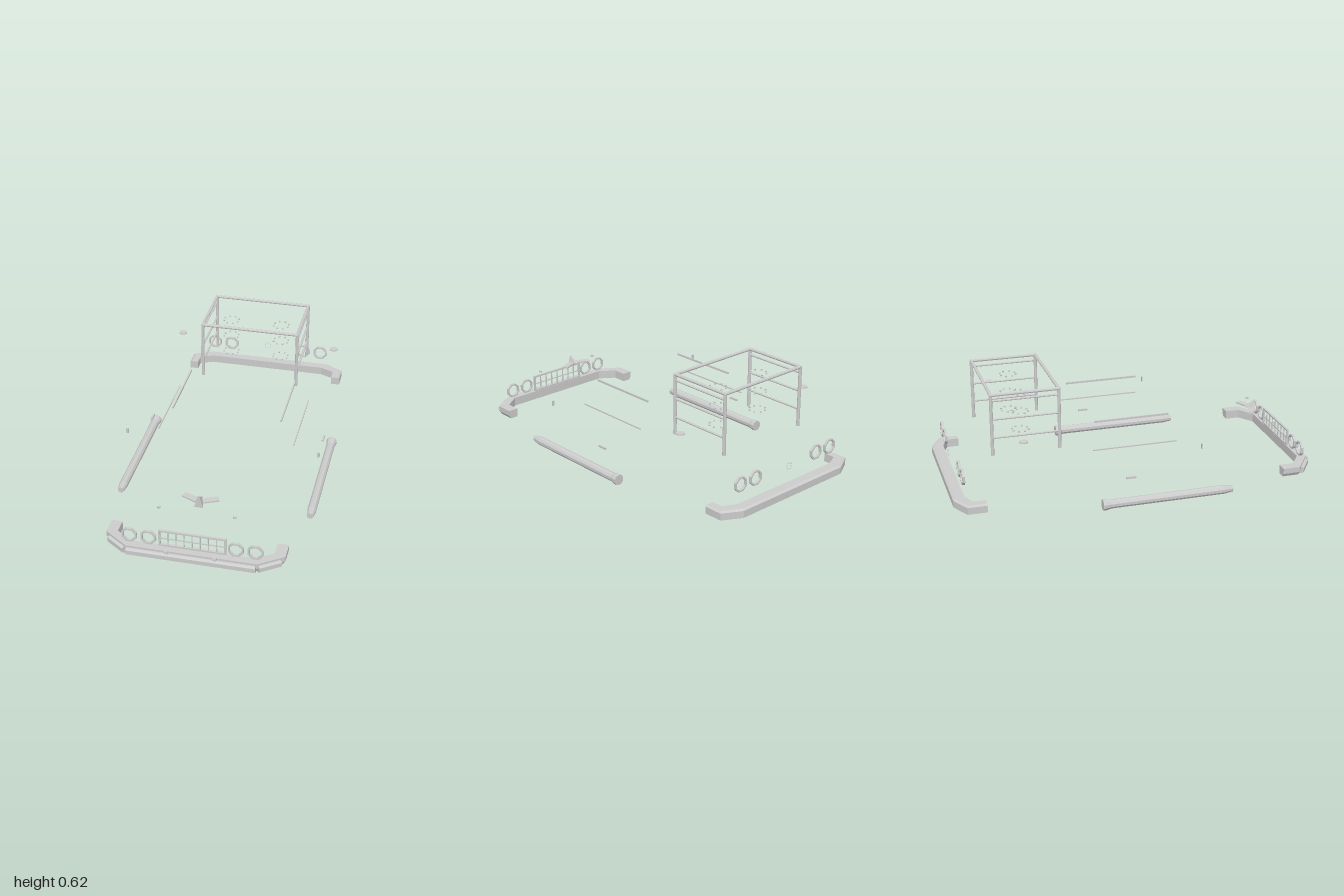
import * as THREE from 'three';
import { ConvexGeometry } from 'three/addons/geometries/ConvexGeometry.js';

const mat = new THREE.MeshStandardMaterial({ color: 0xcccccc, flatShading: true });
const V = (x, y, z) => new THREE.Vector3(x, y, z);

function add(parent, name, geo, x = 0, y = 0, z = 0) {
  const m = new THREE.Mesh(geo, mat);
  m.name = name;
  m.position.set(x, y, z);
  parent.add(m);
  return m;
}

function group(parent, name) {
  const g = new THREE.Group();
  g.name = name;
  parent.add(g);
  return g;
}

const box = (w, h, d) => new THREE.BoxGeometry(w, h, d);

// Round bar between two points
function bar(parent, name, a, b, r) {
  const m = add(parent, name, new THREE.CylinderGeometry(r, r, a.distanceTo(b), 8));
  m.position.copy(a).lerp(b, 0.5);
  m.quaternion.setFromUnitVectors(V(0, 1, 0), b.clone().sub(a).normalize());
}

// Beam swept along plan stations [outerX, outerZ, innerX, innerZ], running from +x to -x.
// The profile lists [t, y], t going from outer (0) to inner (1): outer top, outer bottom, inner bottom, inner top.
function beam(stations, profile) {
  const rings = stations.map(([ox, oz, ix, iz]) =>
    profile.map(([t, y]) => V(ox + (ix - ox) * t, y, oz + (iz - oz) * t)));
  const n = profile.length, pts = [];
  for (let i = 0; i < rings.length - 1; i++) {
    for (let j = 0; j < n; j++) {
      const k = (j + 1) % n;
      const a = rings[i][j], b = rings[i][k], c = rings[i + 1][k], d = rings[i + 1][j];
      pts.push(a, d, c, a, c, b);
    }
  }
  const first = rings[0], last = rings[rings.length - 1];
  for (let k = 1; k < n - 1; k++) {
    pts.push(first[0], first[k], first[k + 1], last[0], last[k + 1], last[k]);
  }
  const geo = new THREE.BufferGeometry().setFromPoints(pts);
  geo.computeVertexNormals();
  return geo;
}

const flip = (half) => half.map(([a, b, c, d]) => [-a, b, -c, d]).reverse();
const mirrored = (half) => [...half, ...flip(half)];

// Flat octagonal ring facing z
function octagonRing(outer, inner, depth) {
  const corners = (r) => Array.from({ length: 8 }, (_, i) => {
    const a = (i + 0.5) * Math.PI / 4;
    return new THREE.Vector2(r * Math.cos(a), r * Math.sin(a));
  });
  const s = new THREE.Shape(corners(outer));
  s.holes.push(new THREE.Path(corners(inner)));
  return new THREE.ExtrudeGeometry(s, { depth, bevelEnabled: false }).translate(0, 0, -depth / 2);
}

function buildFrontBumper(root) {
  const g = group(root, 'frontBumper');
  add(g, 'bumperBeam', beam(mirrored([
    [0.468, 0.795, 0.41, 0.795], [0.468, 0.89, 0.41, 0.875], [0.34, 0.98, 0.325, 0.935],
  ]), [[0, 0.083], [0, 0.053], [0.2, 0.034], [1, 0.034], [1, 0.083]]));
  // Rub strips on the centre and both corners
  const strip = [[0.5, 0.072], [0, 0.066], [0, 0.042], [0.5, 0.033], [1, 0.033], [1, 0.072]];
  const corner = [[0.455, 0.92, 0.44, 0.9], [0.355, 0.99, 0.34, 0.97]];
  add(g, 'centreStrip', beam(mirrored([[0.335, 1, 0.335, 0.975]]), strip));
  add(g, 'leftCornerStrip', beam(corner, strip));
  add(g, 'rightCornerStrip', beam(flip(corner), strip));
  for (const s of [-1, 1]) add(g, 'bumperBolt', box(0.018, 0.012, 0.015), s * 0.125, 0.078, 0.983);
}

function buildRearBumper(root) {
  const g = group(root, 'rearBumper');
  g.rotation.y = Math.PI;
  add(g, 'bumperBeam', beam(mirrored([
    [0.47, 0.84, 0.42, 0.84], [0.47, 0.943, 0.42, 0.905], [0.365, 1, 0.345, 0.938],
  ]), [[0.2, 0.098], [0, 0.09], [0, 0.052], [1, 0.052], [1, 0.098]]));
}

function buildGrille(root) {
  const g = group(root, 'grille');
  for (const y of [0.089, 0.176]) add(g, 'grilleRail', box(0.35, 0.009, 0.012), 0, y, 0.94);
  for (const x of [-0.17, 0.17]) add(g, 'grilleEnd', box(0.009, 0.09, 0.012), x, 0.132, 0.94);
  for (let i = -3; i <= 3; i++) add(g, 'grilleSlat', box(0.005, 0.085, 0.006), i * 0.042, 0.132, 0.94);
  add(g, 'grilleCrossbar', box(0.335, 0.005, 0.006), 0, 0.13, 0.94);
}

// Open rack on four legs, with three rails down each side
function buildRack(root) {
  const g = group(root, 'rearRack');
  const X = 0.275, top = 0.612, z0 = -0.409, z1 = -0.768, r = 0.009;
  for (const x of [-X, X]) {
    for (const z of [z0, z1]) {
      bar(g, 'rackLeg', V(x, 0.28, z), V(x, top, z), r);
      add(g, 'rackCorner', new THREE.SphereGeometry(r, 8, 6), x, top, z);
    }
    bar(g, 'rackTopSide', V(x, top, z0), V(x, top, z1), r);
    for (const y of [0.376, 0.478, 0.58]) bar(g, 'rackRail', V(x, y, z0), V(x, y, z1), 0.006);
  }
  for (const z of [z0, z1]) bar(g, 'rackTopCross', V(-X, top, z), V(X, top, z), r);
}

// Circle of eight bolts lying in the xz plane
function boltCircle(root, name, radius, size, height) {
  const g = group(root, name);
  for (let i = 0; i < 8; i++) {
    const a = (i + 0.5) * Math.PI / 4;
    add(g, 'bolt', new THREE.CylinderGeometry(size, size, height, 6), radius * Math.cos(a), 0, radius * Math.sin(a));
  }
  return g;
}

function buildOrnament(root) {
  const g = group(root, 'bonnetOrnament');
  add(g, 'ornamentBody', new ConvexGeometry([
    V(-0.005, 0.312, 0.8), V(0.005, 0.312, 0.8),
    V(-0.024, 0.245, 0.8), V(0.024, 0.245, 0.8),
    V(-0.006, 0.275, 0.745), V(0.006, 0.275, 0.745),
  ]));
  for (const s of [-1, 1]) {
    add(g, 'ornamentWing', box(0.084, 0.008, 0.035), s * 0.053, 0.271, 0.758).rotation.y = s * 0.43;
  }
}

export function createModel() {
  const root = new THREE.Group();
  root.name = 'vehicleTrim';

  buildFrontBumper(root);
  buildRearBumper(root);
  buildGrille(root);
  buildRack(root);
  buildOrnament(root);

  // Bolt circles within the rack and on the tail
  for (const x of [-0.148, 0.148]) {
    for (const y of [0.357, 0.46, 0.563]) {
      boltCircle(root, 'rackBoltCircle', 0.044, 0.005, 0.007).position.set(x, y, -0.592);
    }
  }
  const tail = boltCircle(root, 'tailBoltCircle', 0.018, 0.0025, 0.005);
  tail.position.set(0, 0.203, -0.96);
  tail.rotation.x = Math.PI / 2;

  // Side pipe: flared at the rear, tapered at the front
  const pipe = new THREE.LatheGeometry([
    [0, -0.245], [0.03, -0.245], [0.03, -0.232], [0.024, -0.2], [0.024, 0.425], [0.017, 0.475], [0, 0.475],
  ].map(([r, z]) => new THREE.Vector2(r, z)), 10).rotateX(Math.PI / 2);

  const ring = octagonRing(0.0425, 0.033, 0.014);

  // Parts on both sides
  for (const s of [-1, 1]) {
    const g = group(root, s > 0 ? 'leftSide' : 'rightSide');
    for (const x of [0.226, 0.326]) add(g, 'headlampRing', ring, s * x, 0.13, 0.947);
    for (const x of [0.225, 0.331]) add(g, 'tailLampRing', ring, s * x, 0.203, -0.94);
    add(g, 'sidePipe', pipe, s * 0.521, 0.035, 0);
    add(g, 'upperTrimStrip', box(0.008, 0.01, 0.41), s * 0.299, 0.413, -0.023);
    add(g, 'lowerTrimStrip', box(0.006, 0.006, 0.46), s * 0.375, 0.285, -0.024);
    add(g, 'doorHandle', box(0.01, 0.01, 0.054), s * 0.495, 0.16, -0.082);
    add(g, 'sideMarker', box(0.014, 0.029, 0.005), s * 0.525, 0.305, 0.294);
    add(g, 'fuelCap', new THREE.CylinderGeometry(0.023, 0.023, 0.006, 12), s * 0.455, 0.414, -0.64);
    add(g, 'bonnetPin', new THREE.CylinderGeometry(0.009, 0.009, 0.009, 8), s * 0.197, 0.246, 0.84);
  }
  return root;
}
